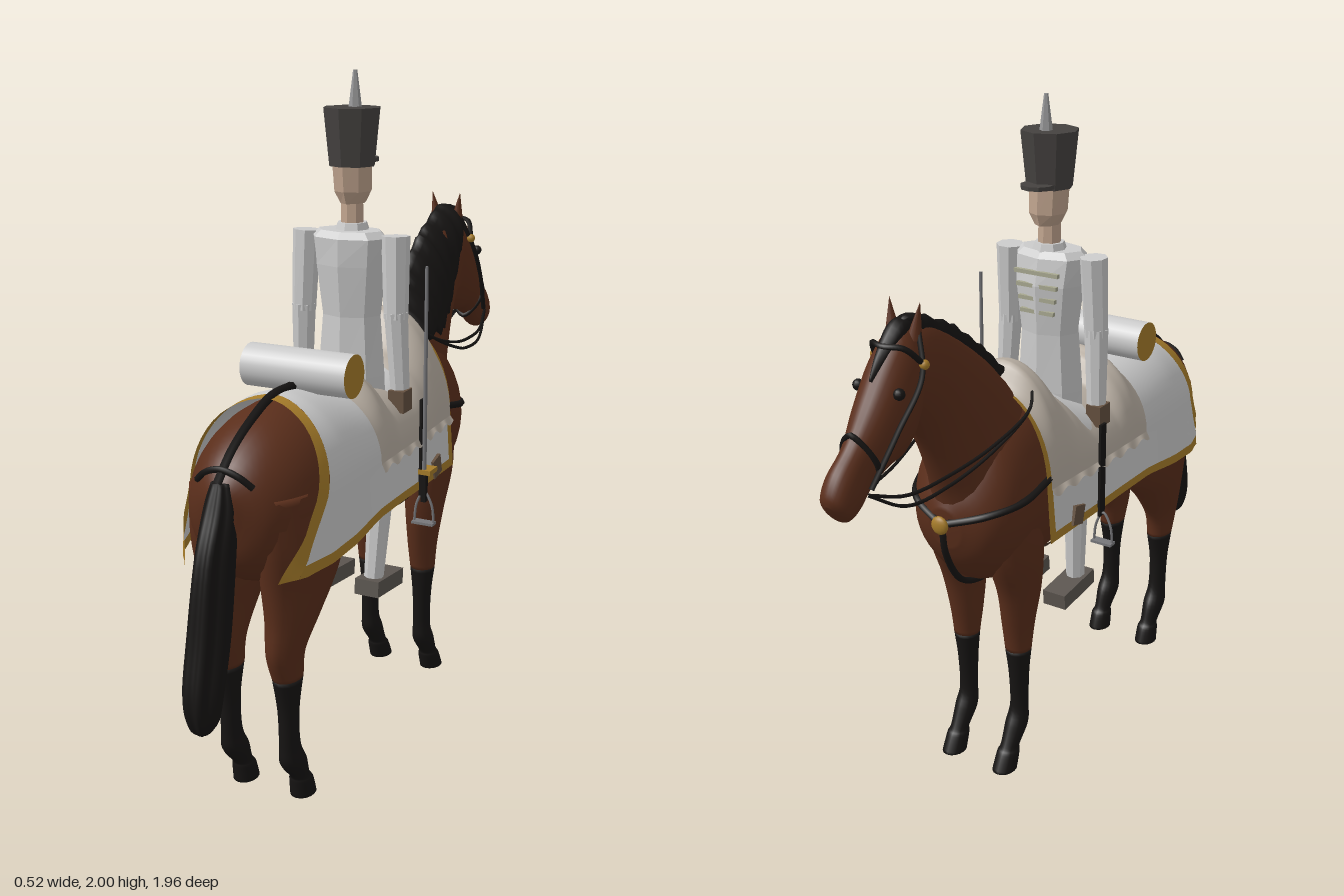
import * as THREE from 'three';

const mat = (color, flatShading = false, side = THREE.FrontSide) =>
  new THREE.MeshStandardMaterial({ color, flatShading, side });
const V = (x, y, z) => new THREE.Vector3(x, y, z);
const lerp = THREE.MathUtils.lerp;

// Linear lookup in a list of [key, value] pairs with rising keys
function look(table, k) {
  if (k <= table[0][0]) return table[0][1];
  for (let i = 1; i < table.length; i++) {
    const [a, va] = table[i - 1], [b, vb] = table[i];
    if (k <= b) return lerp(va, vb, THREE.MathUtils.smoothstep(k, a, b) * 0.5 + (k - a) / (b - a) * 0.5);
  }
  return table[table.length - 1][1];
}

// Closed body through elliptical rings: [zA, yA, zB, yB, halfWidth, xA = 0, xB = xA]
function loft(secs, n = 24, steps = 5, ridge = 0) {
  const full = secs.map(s => [...s.slice(0, 5), s[5] ?? 0, s[6] ?? s[5] ?? 0]);
  const at = i => full[Math.min(Math.max(i, 0), full.length - 1)];
  const rings = [];
  for (let i = 0; i < full.length - 1; i++)
    for (let k = 0; k < steps; k++) {
      const t = k / steps;
      rings.push(full[0].map((_, c) => {
        const p0 = at(i - 1)[c], p1 = at(i)[c], p2 = at(i + 1)[c], p3 = at(i + 2)[c];
        return p1 + t / 2 * (p2 - p0 + t * (2 * p0 - 5 * p1 + 4 * p2 - p3 + t * (3 * (p1 - p2) + p3 - p0)));
      }));
    }
  rings.push(at(full.length));
  const pos = [], idx = [];
  for (const [zA, yA, zB, yB, w, xA, xB] of rings)
    for (let j = 0; j < n; j++) {
      const a = j / n * Math.PI * 2, r = 1 + ridge * Math.cos(a * 7);
      const c = Math.cos(a) * r / 2;
      pos.push((xA + xB) / 2 + (xA - xB) * c + w * Math.sin(a) * r,
        (yA + yB) / 2 + (yA - yB) * c, (zA + zB) / 2 + (zA - zB) * c);
    }
  const last = (rings.length - 1) * n, pole = rings.length * n;
  for (const r of [rings[0], rings[rings.length - 1]])
    pos.push((r[5] + r[6]) / 2, (r[1] + r[3]) / 2, (r[0] + r[2]) / 2);
  for (let j = 0; j < n; j++) {
    const k = (j + 1) % n;
    idx.push(j, pole, k, last + j, last + k, pole + 1);
    for (let b = 0; b < last; b += n) idx.push(b + j, b + k, b + n + j, b + k, b + n + k, b + n + j);
  }
  // Turn the faces outward if the enclosed volume is negative
  const p = i => V(pos[i * 3], pos[i * 3 + 1], pos[i * 3 + 2]);
  let vol = 0;
  for (let i = 0; i < idx.length; i += 3) vol += p(idx[i]).dot(p(idx[i + 1]).cross(p(idx[i + 2])));
  if (vol < 0) idx.reverse();
  return toGeometry(pos, idx);
}

function toGeometry(pos, idx) {
  const g = new THREE.BufferGeometry();
  g.setAttribute('position', new THREE.Float32BufferAttribute(pos, 3));
  g.setIndex(idx);
  g.computeVertexNormals();
  return g;
}

// Patch of a surface S(u, v) over the given ranges
function patch(S, u0, u1, v0, v1, nu, nv) {
  const pos = [], idx = [];
  for (let i = 0; i <= nu; i++)
    for (let j = 0; j <= nv; j++) {
      pos.push(...S(lerp(u0, u1, i / nu), lerp(v0, v1, j / nv)));
      const a = i * (nv + 1) + j;
      if (i < nu && j < nv) idx.push(a, a + 1, a + nv + 1, a + 1, a + nv + 2, a + nv + 1);
    }
  return toGeometry(pos, idx);
}

// Cloth hanging over the back: u runs from front to rear, v from hem to hem
const drape = (front, rear, top, width, hem) => (u, v) => {
  const t = Math.abs(v), z = lerp(front, rear(t), u), w = look(width, z), mid = 0.93;
  const a = Math.min(t, 0.5) * Math.PI, d = Math.max(t - 0.5, 0) * 2;
  return [Math.sign(v) * (w * Math.sin(a) + 0.012 * d),
    t < 0.5 ? mid + (look(top, z) - mid) * Math.cos(a) : lerp(mid, hem(z), d), z];
};

const tube = (pts, r, closed = false) =>
  new THREE.TubeGeometry(new THREE.CatmullRomCurve3(pts.map(p => V(...p)), closed), 32, r, 6, closed);

export function createModel() {
  const model = new THREE.Group();
  const coat = mat(0x5a2e1b), black = mat(0x161413), gold = mat(0xa67c2a, false, THREE.DoubleSide);
  const cloth = mat(0xdcdcdc, false, THREE.DoubleSide), leather = mat(0xb8aea2, false, THREE.DoubleSide);
  const grey = mat(0xcccccc, true), skin = mat(0xc0a48e, true), felt = mat(0x454240, true);
  const boot = mat(0x5c5650, true), glove = mat(0x64503f, true), metal = mat(0x77777a);
  const add = (name, geo, material, parent = model) => {
    const m = new THREE.Mesh(geo, material);
    m.name = name;
    parent.add(m);
    return m;
  };
  const box = (name, w, h, d, x, y, z, m) => {
    const b = add(name, new THREE.BoxGeometry(w, h, d), m);
    b.position.set(x, y, z);
    return b;
  };

  // Horse trunk, neck and head
  add('horseBody', loft([
    [.83, .98, .81, .86, .04], [.76, 1.06, .78, .76, .125], [.65, 1.12, .68, .68, .18], [.5, 1.145, .5, .67, .2],
    [.3, 1.12, .32, .74, .198], [.1, 1.08, .1, .68, .192], [-.1, 1.12, -.1, .64, .183], [-.22, 1.18, -.25, .63, .18],
    [-.38, 1.14, -.37, .65, .175], [-.465, 1.0, -.45, .73, .125], [-.5, .92, -.485, .8, .05]], 32), coat);
  add('horseNeck', loft([[-.1, 1.12, -.36, .72, .13], [-.22, 1.23, -.47, .87, .12], [-.31, 1.32, -.505, .98, .102],
    [-.45, 1.43, -.565, 1.12, .083], [-.57, 1.5, -.63, 1.22, .075], [-.65, 1.51, -.69, 1.28, .06]]), coat);
  add('horseHead', loft([[-.61, 1.49, -.63, 1.33, .05], [-.67, 1.51, -.655, 1.22, .073], [-.735, 1.46, -.70, 1.165, .077],
    [-.815, 1.35, -.765, 1.15, .066], [-.88, 1.26, -.83, 1.115, .048], [-.945, 1.2, -.88, 1.075, .05],
    [-.975, 1.15, -.92, 1.06, .042], [-.975, 1.12, -.945, 1.075, .015]]), coat);

  // Legs, given as [front z, back z, y, half width, x]
  const fore = [[-.42, -.2, .95, .06, .1], [-.4, -.18, .75, .075, .1], [-.345, -.18, .6, .06, .1],
    [-.32, -.2, .48, .047, .095], [-.305, -.22, .39, .04, .095]];
  const foreLow = [[-.305, -.22, .39, .04, .095], [-.295, -.225, .3, .03, .095], [-.29, -.23, .19, .028, .095],
    [-.315, -.235, .13, .034, .095], [-.345, -.28, .07, .028, .095], [-.36, -.285, .05, .034, .095], [-.388, -.3, 0, .036, .095]];
  const hind = [[.44, .77, .95, .08, .1], [.385, .76, .8, .092, .105], [.41, .74, .68, .085, .1],
    [.5, .73, .58, .066, .1], [.575, .73, .48, .047, .095], [.59, .7, .4, .04, .095]];
  const hindLow = [[.59, .7, .4, .04, .095], [.61, .68, .3, .03, .095], [.605, .675, .19, .029, .095],
    [.575, .67, .13, .035, .095], [.555, .62, .07, .028, .095], [.54, .615, .05, .034, .095], [.522, .61, 0, .036, .095]];
  for (const s of [1, -1]) {
    const side = s > 0 ? 'Left' : 'Right';
    const leg = L => loft(L.map(([a, b, y, w, x]) => [a, y, b, y, w, s * x]), 16);
    add('horseForeleg' + side, leg(fore), coat);
    add('horseForehoof' + side, leg(foreLow), black);
    add('horseHindleg' + side, leg(hind), coat);
    add('horseHindhoof' + side, leg(hindLow), black);

    // Ears, eyes and bridle
    const ear = add('horseEar' + side, new THREE.ConeGeometry(.022, .1, 10), coat);
    ear.position.set(s * .042, 1.525, -.64);
    ear.rotation.set(.1, 0, -s * .15);
    add('horseEye' + side, new THREE.SphereGeometry(.016, 12, 8), black).position.set(s * .066, 1.365, -.755);
    add('bridleCheekStrap' + side, tube([[s * .045, 1.5, -.64], [s * .082, 1.39, -.68], [s * .073, 1.27, -.775], [s * .052, 1.14, -.865]], .008), black);
    add('bridleRosette' + side, new THREE.SphereGeometry(.014, 10, 8), gold).position.set(s * .08, 1.42, -.665);
    for (const d of [0, .03])
      add('rein' + side, tube([[s * .05, 1.13, -.88], [s * .08, 1.09 - d, -.76], [s * .1, 1.09 - d, -.6],
        [s * .125, 1.12 - d / 2, -.42], [s * .13, 1.17, -.25], [s * .1, 1.21, -.19]], .005), black);

    // Breast strap, stirrup leather, stirrup and girth buckle
    add('breastStrap' + side, tube([[s * .185, .96, -.23], [s * .18, .935, -.36], [s * .12, .915, -.46], [0, .88, -.51]], .011), black);
    box('stirrupLeather' + side, .008, .3, .03, s * .214, .9, .02, black);
    add('stirrup' + side, tube([[s * .19, .66, .02], [s * .198, .72, .02], [s * .222, .76, .02], [s * .247, .72, .02], [s * .255, .66, .02]], .004), metal);
    box('stirrupTread' + side, .07, .008, .03, s * .222, .66, .02, metal);
    box('girthBuckle' + side, .012, .06, .055, s * .206, .8, -.105, glove).rotation.x = .25;
  }
  add('bridleNoseband', tube([[0, 1.28, -.873], [.056, 1.2, -.84], [0, 1.12, -.805], [-.056, 1.2, -.84]], .008, true), black);
  add('bridleBrowband', tube([[-.08, 1.42, -.665], [-.05, 1.47, -.71], [0, 1.475, -.735], [.05, 1.47, -.71], [.08, 1.42, -.665]], .008), black);
  add('breastMedallion', new THREE.SphereGeometry(.028, 16, 10).scale(1, 1, .5), gold).position.set(0, .88, -.515);
  add('breastStrapLower', tube([[0, .88, -.505], [0, .78, -.49], [0, .66, -.41], [0, .62, -.25], [0, .632, -.1]], .01), black);
  add('girth', new THREE.CylinderGeometry(1, 1, .05, 32, 1, true).rotateX(Math.PI / 2).scale(.19, .25, 1),
    mat(0x2a1c14, false, THREE.DoubleSide)).position.set(0, .882, -.09);
  add('crupperStrap', tube([[0, 1.165, .42], [0, 1.163, .55], [0, 1.12, .665], [0, 1.065, .76], [0, 1.0, .83]], .013), black);
  add('crupperLoop', tube([[-.085, .99, .79], [-.05, 1.02, .805], [0, 1.035, .81], [.05, 1.02, .805], [.085, .99, .79]], .009), black);

  // Mane falling to one side with a ragged lower edge, forelock and tail
  const crest = [[0, -.2, 1.25], [.3, -.31, 1.355], [.6, -.45, 1.46], [.9, -.6, 1.53], [1, -.66, 1.535]];
  const tips = [[0, -.21, 1.17], [.3, -.38, 1.16], [.6, -.48, 1.235], [.9, -.6, 1.39], [1, -.66, 1.49]];
  const col = (T, c, t) => look(T.map(r => [r[0], r[c]]), t);
  const mane = [];
  for (let i = 0; i <= 16; i++) {
    const t = i / 16, jag = (i % 2 ? .014 : -.014);
    mane.push([col(crest, 1, t), col(crest, 2, t) + jag * .3, col(tips, 1, t), col(tips, 2, t) + jag,
      i === 0 || i === 16 ? .015 : .045, -.01, .1 - .06 * t * t]);
  }
  add('mane', loft(mane, 16, 2), black);
  add('forelock', loft([[-.62, 1.53, -.62, 1.49, .02], [-.68, 1.525, -.67, 1.48, .03], [-.75, 1.46, -.73, 1.43, .018], [-.79, 1.4, -.78, 1.39, .004]], 10), black);
  add('tail', loft([[.79, 1.0, .83, 1.0, .025], [.775, .93, .86, .93, .042], [.79, .8, .915, .8, .048], [.83, .6, .955, .6, .053],
    [.87, .45, .985, .45, .05], [.885, .37, .97, .37, .036], [.91, .34, .945, .34, .012]], 42, 5, .09), black);

  // Blanket with a gold border
  const S = drape(-.25, t => .565 + .21 * Math.pow(t, 1.2),
    [[-.25, 1.215], [-.1, 1.15], [.1, 1.1], [.3, 1.135], [.5, 1.167], [.6, 1.16], [.7, 1.11], [.78, 1.04]],
    [[-.25, .19], [.1, .202], [.3, .208], [.5, .216], [.6, .212], [.7, .185], [.78, .13]],
    z => look([[-.25, .762], [.3, .775], [.5, .755], [.78, .73]], z));
  add('blanket', patch(S, .03, .955, -.92, .92, 40, 48), cloth);
  add('blanketFrontBorder', patch(S, 0, .03, -1, 1, 2, 48), gold);
  add('blanketRearBorder', patch(S, .955, 1, -1, 1, 2, 48), gold);
  for (const s of [1, -1]) add('blanketHem', patch(S, .03, .955, s * .92, s, 40, 3), gold);

  // Saddle cover with raised pommel and cantle and a wavy hem
  const saddle = drape(-.235, () => .3,
    [[-.235, 1.21], [-.19, 1.275], [-.15, 1.27], [-.06, 1.16], [.02, 1.1], [.15, 1.11], [.2, 1.18], [.24, 1.2], [.3, 1.14]],
    [[-.235, .196], [.1, .21], [.3, .214]], z => .912 + .008 * Math.cos(z * 75));
  add('saddleCover', patch(saddle, 0, 1, -1, 1, 60, 48), leather);

  // Rolled cloak behind the saddle
  const roll = add('cloakRoll', new THREE.CylinderGeometry(.062, .062, .33, 28), [cloth, gold, gold]);
  roll.rotation.z = Math.PI / 2;
  roll.position.set(0, 1.197, .375);

  // Rider torso, neck, head and tall hat
  const tiers = rows => loft(rows.map(([y, w, a, b]) => [a, y, b, y, w]), 8, 1);
  add('riderTorso', tiers([[1.0, .115, -.01, .15], [1.12, .11, -.015, .15], [1.3, .095, -.01, .14],
    [1.45, .115, -.02, .155], [1.53, .122, -.005, .155], [1.55, .1, .01, .14]]), grey);
  add('riderCollar', new THREE.CylinderGeometry(.045, .055, .03, 8), grey).position.set(0, 1.555, .06);
  add('riderNeck', new THREE.CylinderGeometry(.033, .036, .11, 8), skin).position.set(0, 1.59, .06);
  add('riderHead', tiers([[1.625, .035, .005, .1], [1.66, .055, -.008, .115], [1.76, .06, -.005, .125]]), skin);
  add('riderHat', new THREE.CylinderGeometry(.086, .069, .165, 8), felt).position.set(0, 1.815, .06);
  add('hatVisor', new THREE.CylinderGeometry(.05, .05, .012, 10), felt).position.set(0, 1.745, -.005);
  add('hatPlume', new THREE.CylinderGeometry(.006, .02, .11, 6), mat(0x99999a, true)).position.set(0, 1.945, .04);
  for (let i = 0; i < 4; i++) box('coatBraid', .15 - i * .012, .012, .012, 0, 1.49 - i * .04, -.012 + i * .002, mat(0xa8a890, true));

  // Rider limbs
  const limb = (name, a, b, r0, r1, m) => {
    const p = V(...a), q = V(...b), d = q.clone().sub(p);
    const c = add(name, new THREE.CylinderGeometry(r1, r0, d.length(), 8), m);
    c.position.copy(p).addScaledVector(d, .5);
    c.quaternion.setFromUnitVectors(V(0, 1, 0), d.normalize());
  };
  for (const s of [1, -1]) {
    limb('riderUpperArm', [s * .145, 1.54, .07], [s * .152, 1.3, .08], .042, .036, grey);
    limb('riderForearm', [s * .152, 1.32, .08], [s * .162, 1.09, .07], .037, .03, grey);
    box('riderHand', .05, .065, .06, s * .165, 1.055, .075, glove);
    limb('riderThigh', [s * .09, 1.05, .07], [s * .11, .78, .06], .06, .045, grey);
    limb('riderShin', [s * .1, .8, .06], [s * .085, .48, .085], .04, .03, grey);
    box('riderBoot', .08, .05, .18, s * .085, .453, .047, boot).rotation.x = -.1 * -1 * -1;
  }

  // Sword carried upright on one side
  add('swordBlade', new THREE.CylinderGeometry(.005, .007, .72, 6), metal).position.set(.224, 1.09, .025);
  box('swordGuard', .04, .015, .055, .228, .825, .01, gold);
  box('swordGrip', .016, .09, .018, .224, .775, .025, black);
  return model;
}
